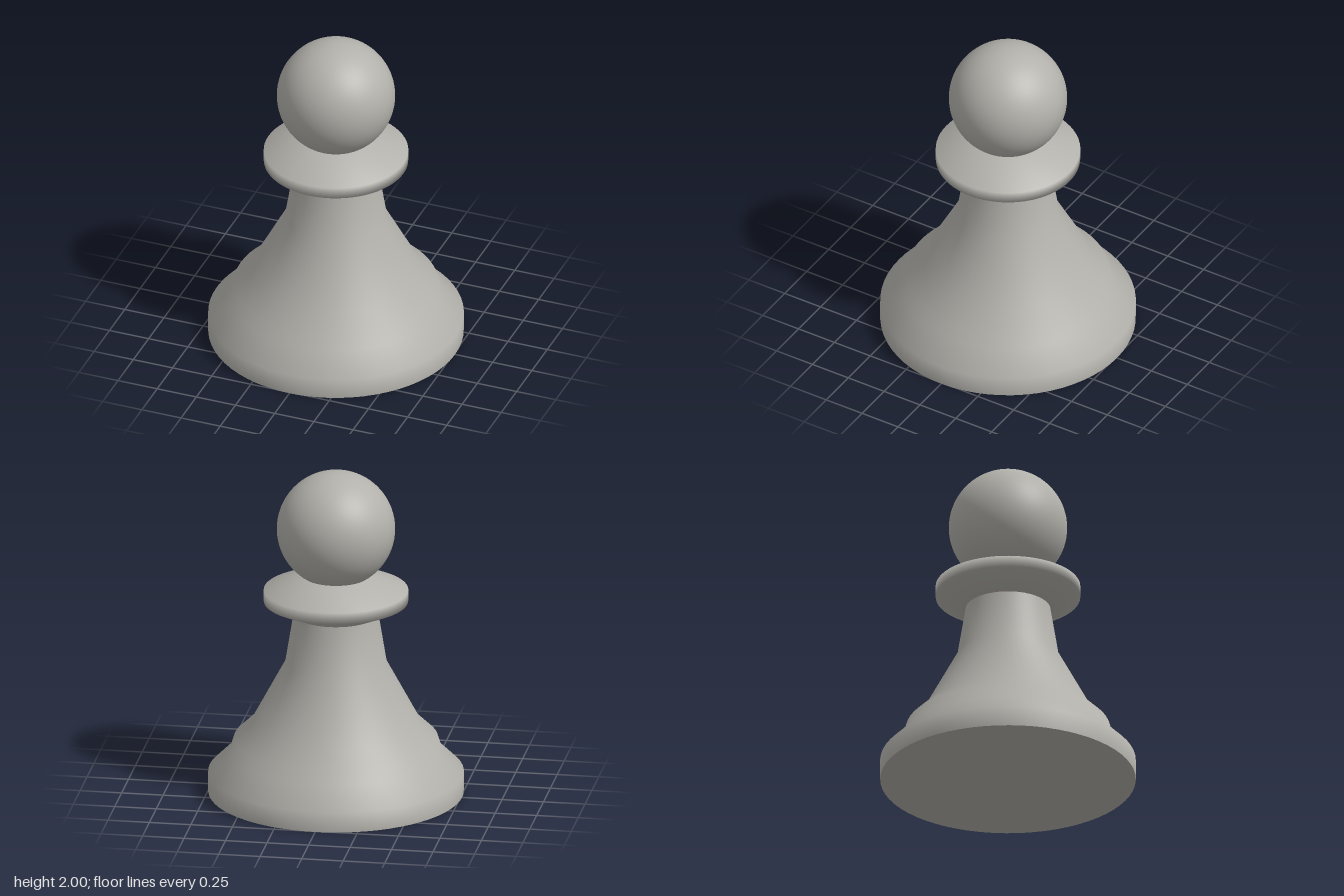
import * as THREE from 'three';

export function createModel() {
  const group = new THREE.Group();
  const stone = new THREE.MeshStandardMaterial({ color: 0xb2b1ab });
  stone.name = 'warm grey';
  const SEGMENTS = 64;

  const add = (name, geometry) => {
    const mesh = new THREE.Mesh(geometry, stone);
    mesh.name = name;
    group.add(mesh);
    return mesh;
  };
  const turned = (name, profile) =>
    add(name, new THREE.LatheGeometry(profile.map(([r, y]) => new THREE.Vector2(r, y)), SEGMENTS));

  // Turned foot, waist and neck, from the bottom up
  turned('body', [
    [0.76, 0], [0.76, 0.125], [0.633, 0.25], [0.607, 0.335],
    [0.503, 0.435], [0.302, 0.81], [0.252, 1.115],
  ]);

  // Flared ring under the head
  turned('collar', [[0.252, 1.115], [0.43, 1.195], [0.43, 1.265], [0.2, 1.355], [0.15, 1.36]]);

  // Ball on top
  add('head', new THREE.SphereGeometry(0.352, SEGMENTS, 40)).position.y = 1.648;

  // Flat underside
  add('underside', new THREE.CircleGeometry(0.76, SEGMENTS).rotateX(Math.PI / 2));

  return group;
}
